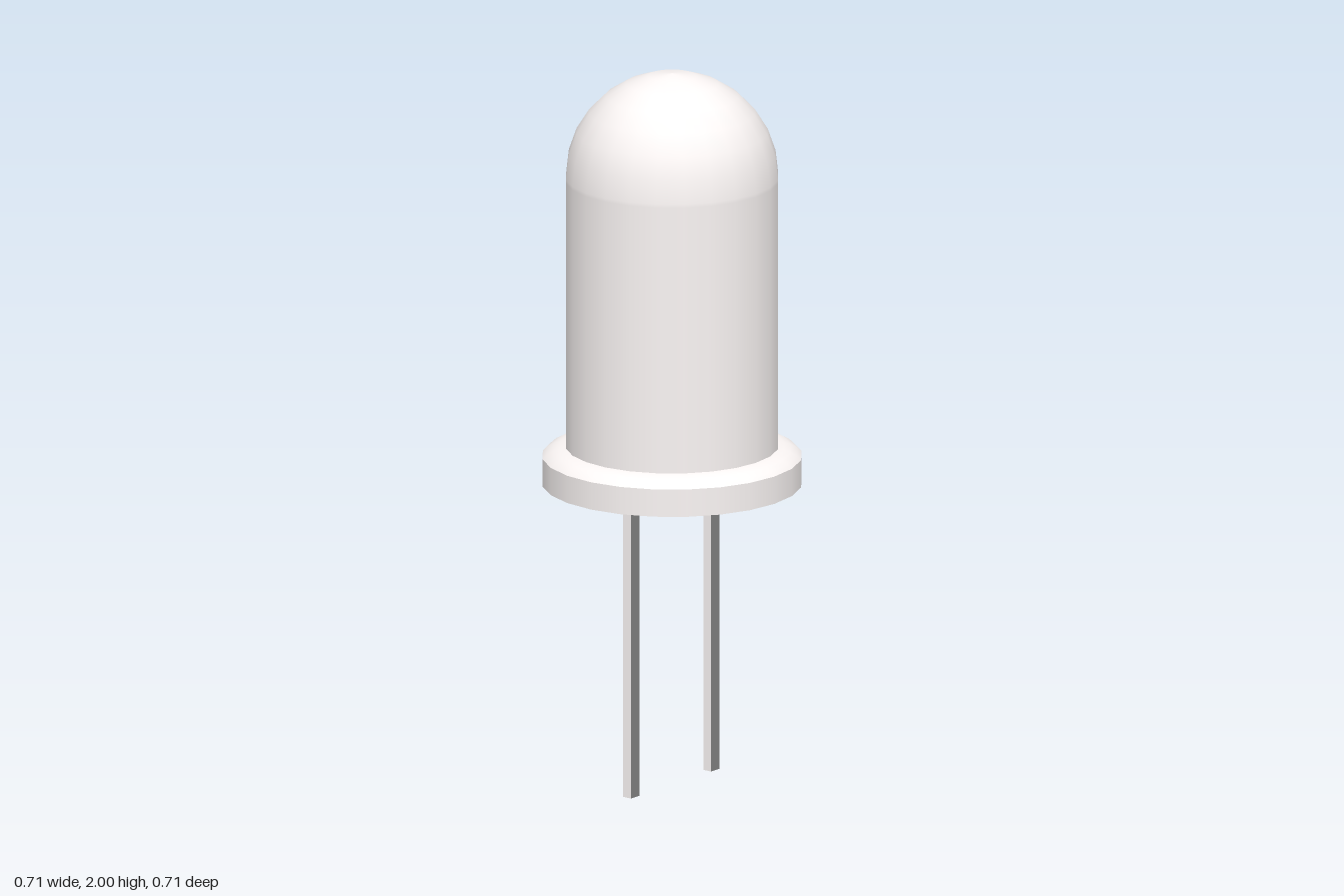
import * as THREE from 'three';

const SIDES = 24;
const pale = new THREE.MeshStandardMaterial({ color: 0xfbf6f5 });
const dark = new THREE.MeshStandardMaterial({ color: 0x858585 });

function add(group, name, geometry, material, x = 0, y = 0, z = 0) {
  const mesh = new THREE.Mesh(geometry, material);
  mesh.name = name;
  mesh.position.set(x, y, z);
  group.add(mesh);
}

const lathe = (points) =>
  new THREE.LatheGeometry(points.map(([r, y]) => new THREE.Vector2(r, y)), SIDES);

export function createModel() {
  const group = new THREE.Group();
  const lens = 0.291, rim = 0.355, base = 0.845, rimTop = 0.922, shoulder = 0.95, domeStart = 1.709;

  // Lens: straight wall running smoothly into a hemispherical dome
  const profile = [[lens, shoulder - 0.01], [lens, domeStart - 0.01]];
  const rings = 7;
  for (let i = 0; i <= rings; i++) {
    const a = (i / rings) * Math.PI / 2;
    profile.push([i === rings ? 0 : lens * Math.cos(a), domeStart + lens * Math.sin(a)]);
  }
  add(group, 'lens', lathe(profile), pale);

  // Flange: flat underside, straight edge and softly rounded shoulder
  add(group, 'flangeBottom', lathe([[0, base], [rim, base]]), pale);
  add(group, 'flangeEdge', lathe([[rim, base], [rim, rimTop]]), pale);
  add(group, 'flangeShoulder', lathe([
    [rim, rimTop], [0.343, 0.933], [0.326, 0.942], [0.308, 0.948], [lens, shoulder],
  ]), pale);

  // Two straight square-cut leads, dark on their front and back faces
  const leadFaces = [pale, pale, pale, pale, dark, dark];
  for (const [name, x] of [['rightLead', -0.185], ['leftLead', 0.167]]) {
    add(group, name, new THREE.BoxGeometry(0.037, base, 0.027), leadFaces, x, base / 2, 0.005);
  }
  return group;
}
